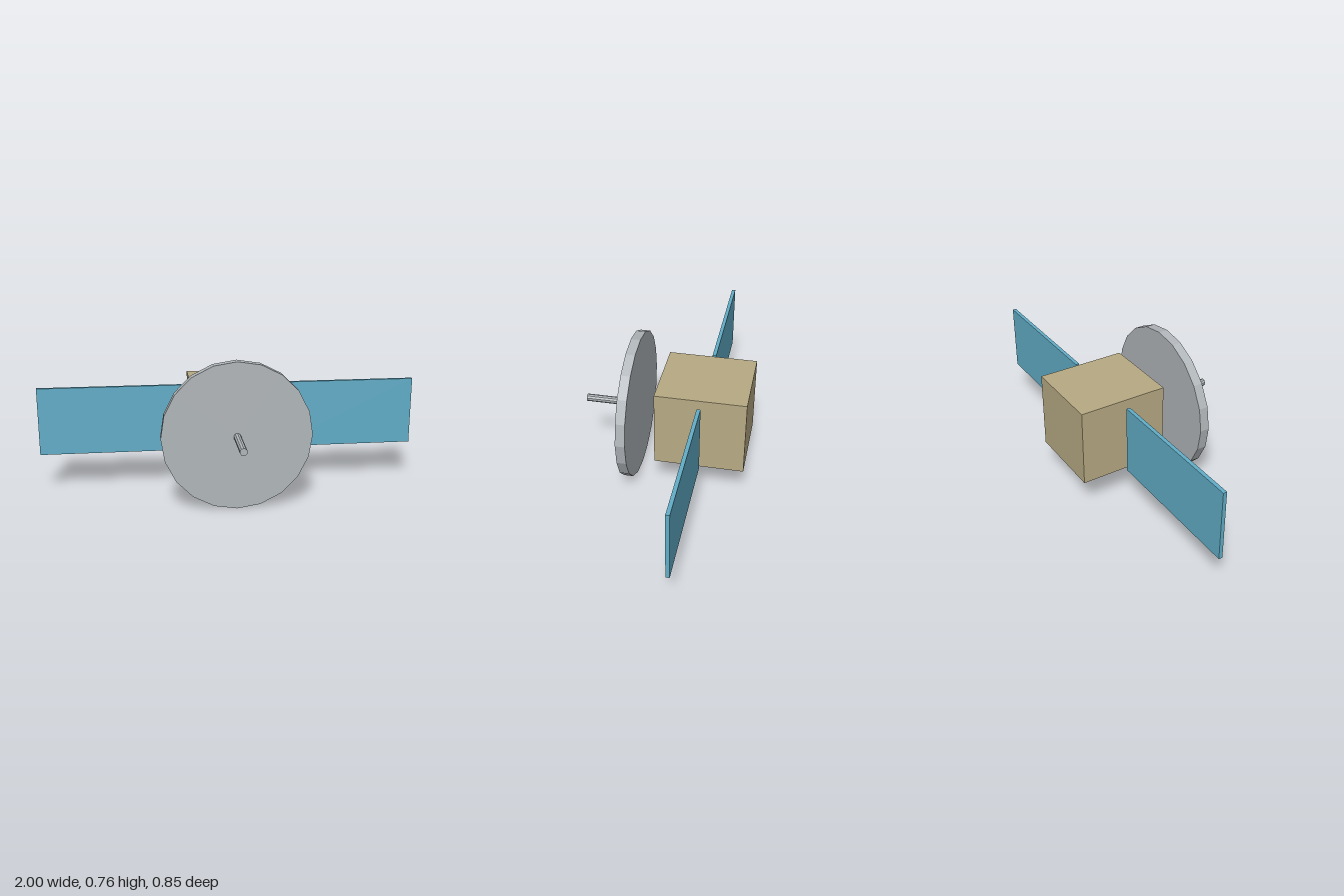
import * as THREE from 'three';

const flat = (name, color) => {
  const m = new THREE.MeshStandardMaterial({ color });
  m.name = name;
  return m;
};

export function createModel() {
  const model = new THREE.Group();
  model.name = 'satellite';
  const tan = flat('tan body', 0xb8aa84);
  const blue = flat('panel blue', 0x62aec8);
  const grey = flat('metal grey', 0xb2b7bb);
  const axisY = 0.378;

  const add = (name, geometry, material, x, y, z) => {
    const mesh = new THREE.Mesh(geometry, material);
    mesh.name = name;
    mesh.position.set(x, y, z);
    model.add(mesh);
  };

  // Faceted cylinder lying along z
  const rod = (radius, length, sides) =>
    new THREE.CylinderGeometry(radius, radius, length, sides)
      .rotateX(Math.PI / 2)
      .toNonIndexed();
  const faceted = (geometry) => {
    geometry.computeVertexNormals();
    return geometry;
  };

  // Main body
  add('body', new THREE.BoxGeometry(0.413, 0.396, 0.453), tan, 0, axisY, -0.198);

  // Solar panels, one on each side with a gap to the body
  for (const [name, side] of [['leftPanel', 1], ['rightPanel', -1]]) {
    add(name, new THREE.BoxGeometry(0.752, 0.358, 0.019), blue, side * 0.624, axisY, -0.198);
  }

  // Antenna dish and its feed rod
  add('dish', faceted(rod(0.378, 0.048, 20)), grey, 0, axisY, 0.161);
  add('feedRod', faceted(rod(0.019, 0.24, 10)), grey, 0, axisY, 0.305);

  return model;
}
